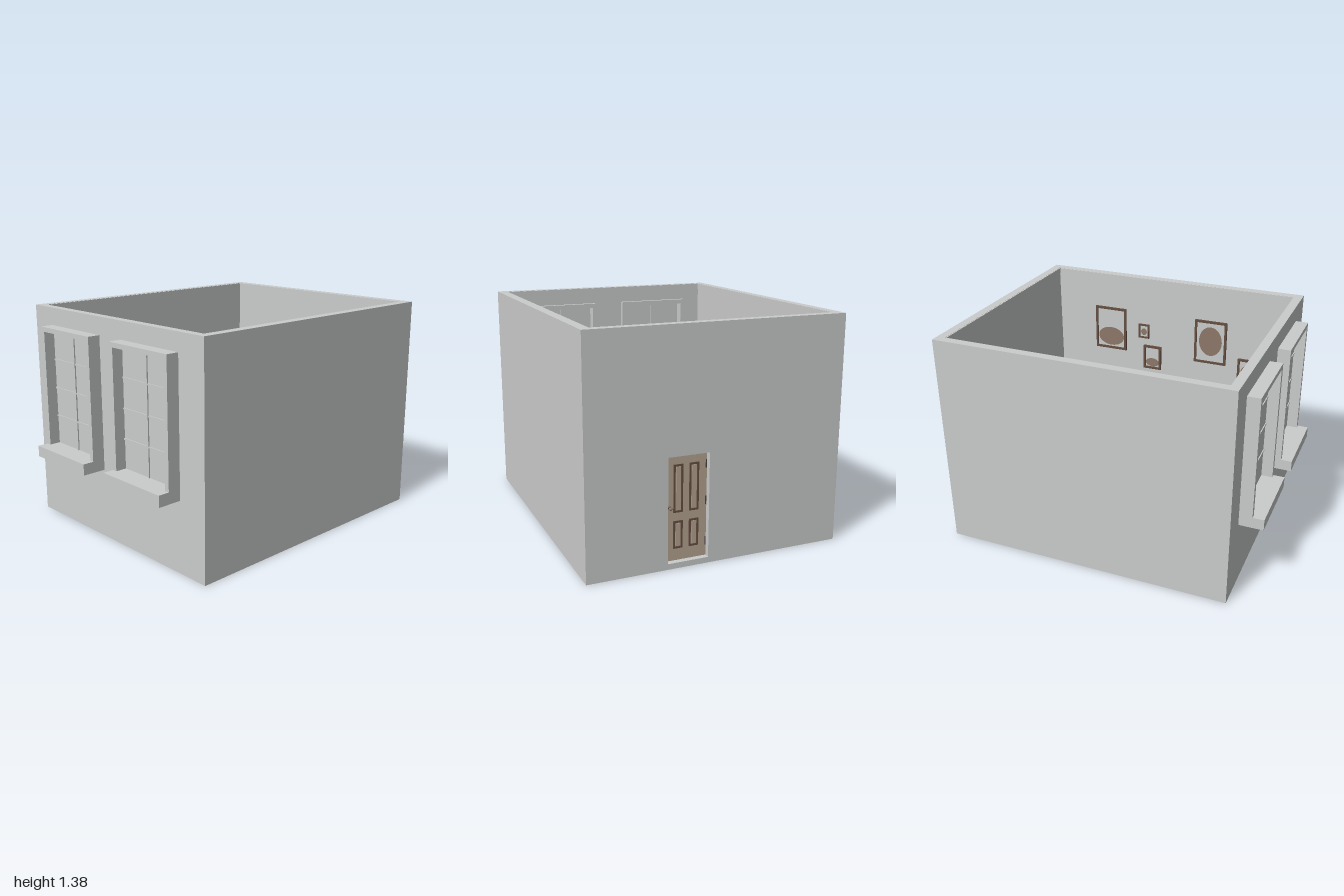
import * as THREE from 'three';
import { RoundedBoxGeometry } from 'three/addons/geometries/RoundedBoxGeometry.js';

const mat = (name, color) => {
  const m = new THREE.MeshStandardMaterial({ color });
  m.name = name;
  return m;
};

export function createModel() {
  const plaster = mat('plaster grey', 0xcbcdcc);
  const fabric = mat('light fabric', 0xd6d8d4);
  const wood = mat('brown wood', 0x8f786a);
  const darkWood = mat('dark wood', 0x664f42);
  const doorWood = mat('door wood', 0xb7a592);
  const grey = mat('mid grey', 0x929493);
  const metal = mat('dark metal', 0x4a4541);

  const root = new THREE.Group();
  root.name = 'room';
  const group = (name, parent = root) => {
    const g = new THREE.Group();
    g.name = name;
    parent.add(g);
    return g;
  };
  const add = (parent, name, geo, m, x = 0, y = 0, z = 0) => {
    const mesh = new THREE.Mesh(geo, m);
    mesh.name = name;
    mesh.position.set(x, y, z);
    parent.add(mesh);
    return mesh;
  };
  // box given by its limits on each axis
  const box = (parent, name, m, x0, x1, y0, y1, z0, z1) =>
    add(parent, name, new THREE.BoxGeometry(x1 - x0, y1 - y0, z1 - z0), m,
      (x0 + x1) / 2, (y0 + y1) / 2, (z0 + z1) / 2);
  const cyl = (parent, name, m, rTop, rBottom, x, y0, y1, z, sides = 16) =>
    add(parent, name, new THREE.CylinderGeometry(rTop, rBottom, y1 - y0, sides), m, x, (y0 + y1) / 2, z);
  const rect = (T, a0, a1, b0, b1) => new T()
    .moveTo(a0, b0).lineTo(a1, b0).lineTo(a1, b1).lineTo(a0, b1).closePath();
  // rectangle with rectangular holes, each as [a0, a1, y0, y1]
  const pierced = (outer, holes, depth) => {
    const s = rect(THREE.Shape, ...outer);
    holes.forEach(h => s.holes.push(rect(THREE.Path, ...h)));
    return new THREE.ExtrudeGeometry(s, { depth, bevelEnabled: false });
  };
  // same, standing in the z-y plane between x0 and x1
  const sidePierced = (parent, name, m, x0, x1, outer, holes) =>
    add(parent, name, pierced(outer, holes, x1 - x0).rotateY(-Math.PI / 2), m, x1);

  // Shell
  const H = 1.38, F = 0.03;
  const windows = [[-0.61, -0.11], [0.09, 0.59]];
  const shell = group('shell');
  box(shell, 'floor', plaster, -0.85, 1, 0, F, -0.79, 0.79);
  box(shell, 'backWall', plaster, -0.85, 1, F, H, -0.79, -0.74);
  box(shell, 'frontWall', plaster, -0.85, 1, F, H, 0.735, 0.79);
  sidePierced(shell, 'rightWall', plaster, 0.945, 1, [-0.74, 0.735, F, H], [[0.06, 0.31, 0.034, 0.656]]);
  sidePierced(shell, 'leftWall', plaster, -0.85, -0.8, [-0.74, 0.735, F, H],
    windows.map(([a, b]) => [a + 0.03, b - 0.03, 0.51, 1.24]));
  const crown = pierced([-0.8, 0.945, -0.735, 0.74],
    [[-0.793, 0.938, -0.728, 0.733]], 0.04).rotateX(-Math.PI / 2);
  add(shell, 'crownTrim', crown, plaster, 0, H - 0.041, 0);

  // Windows with sills, panes and glazing bars
  windows.forEach(([a, b]) => {
    const w = group('window');
    sidePierced(w, 'windowFrame', plaster, -0.93, -0.77, [a, b, 0.44, 1.27], [[a + 0.03, b - 0.03, 0.51, 1.24]]);
    box(w, 'sill', plaster, -1, -0.93, 0.44, 0.51, a, b);
    box(w, 'pane', plaster, -0.86, -0.83, 0.51, 1.24, a + 0.03, b - 0.03);
    const mid = (a + b) / 2;
    box(w, 'glazingBar', plaster, -0.868, -0.822, 0.51, 1.24, mid - 0.005, mid + 0.005);
    for (let i = 1; i < 4; i++) {
      const y = 0.51 + i * 0.1825;
      box(w, 'glazingBar', plaster, -0.866, -0.824, y - 0.005, y + 0.005, a + 0.03, b - 0.03);
    }
  });

  // Door with moulded panels and knobs on both faces
  const door = group('door');
  box(door, 'doorLeaf', doorWood, 0.94, 0.97, 0.036, 0.654, 0.062, 0.308);
  for (const [z0, z1] of [[0.112, 0.17], [0.209, 0.266]]) {
    for (const [y0, y1] of [[0.108, 0.272], [0.322, 0.602]]) {
      sidePierced(door, 'panelMoulding', darkWood, 0.935, 0.975, [z0, z1, y0, y1],
        [[z0 + 0.011, z1 - 0.011, y0 + 0.011, y1 - 0.011]]);
      box(door, 'panel', doorWood, 0.937, 0.973, y0 + 0.016, y1 - 0.016, z0 + 0.016, z1 - 0.016);
    }
  }
  for (const [x, s] of [[0.97, 1], [0.94, -1]]) {
    const stem = cyl(door, 'knobStem', metal, 0.005, 0.009, x + s * 0.006, 0.347, 0.359, 0.288);
    stem.rotation.z = -s * Math.PI / 2;
    add(door, 'knob', new THREE.SphereGeometry(0.01, 16, 12), wood, x + s * 0.015, 0.353, 0.288);
  }
  for (const y of [0.1, 0.345, 0.56]) box(door, 'hinge', metal, 0.968, 0.973, y, y + 0.05, 0.064, 0.07);

  // Bed with four corner posts
  const bed = group('bed');
  const bx = [-0.193, 0.337], bz = [-0.722, -0.07];
  for (const x of bx) {
    bz.forEach((z, i) => {
      const top = i ? 0.25 : 0.38;
      cyl(bed, 'bedPost', darkWood, 0.008, 0.008, x, F, top, z);
      add(bed, 'postKnob', new THREE.SphereGeometry(0.011, 16, 12), darkWood, x, top, z);
    });
    box(bed, 'sideRail', darkWood, x - 0.004, x + 0.004, 0.1, 0.135, ...bz);
  }
  box(bed, 'headboard', darkWood, ...bx, 0.1, 0.36, -0.727, -0.717);
  box(bed, 'footboard', darkWood, ...bx, 0.1, 0.235, -0.075, -0.065);
  add(bed, 'mattress', new RoundedBoxGeometry(0.522, 0.13, 0.642, 3, 0.02), fabric, 0.072, 0.165, -0.396);

  // Bedside table and lamp
  const night = group('bedsideTable');
  box(night, 'tableTop', wood, 0.39, 0.525, 0.185, 0.2, -0.72, -0.585);
  box(night, 'drawerBox', wood, 0.4, 0.515, 0.06, 0.185, -0.715, -0.595);
  box(night, 'drawerFront', darkWood, 0.41, 0.505, 0.125, 0.175, -0.596, -0.59);
  for (const x of [0.406, 0.509]) for (const z of [-0.709, -0.601])
    cyl(night, 'leg', darkWood, 0.007, 0.005, x, F, 0.062, z, 8);
  const lamp = group('lamp');
  lamp.position.set(0.457, 0.2, -0.655);
  const basePts = [[0, 0], [0.03, 0], [0.03, 0.006], [0.012, 0.015], [0.02, 0.04], [0.006, 0.07], [0.005, 0.11], [0, 0.11]];
  add(lamp, 'lampBase', new THREE.LatheGeometry(basePts.map(p => new THREE.Vector2(...p)), 24), metal);
  const shadeMat = mat('lamp shade', 0xd2d4cf);
  shadeMat.side = THREE.DoubleSide;
  add(lamp, 'lampShade', new THREE.CylinderGeometry(0.03, 0.052, 0.07, 32, 1, true), shadeMat, 0, 0.115, 0);
  add(lamp, 'bulb', new THREE.SphereGeometry(0.014, 16, 12), fabric, 0, 0.12, 0);

  // Sideboard with drawers and a small vase
  const side = group('sideboard');
  box(side, 'sideboardTop', wood, 0.8, 0.938, 0.26, 0.275, -0.69, -0.29);
  box(side, 'cabinet', wood, 0.81, 0.938, 0.06, 0.26, -0.685, -0.295);
  for (let c = 0; c < 2; c++) for (let r = 0; r < 2; r++) {
    const z = -0.678 + c * 0.192, y = 0.07 + r * 0.095;
    box(side, 'drawerFront', darkWood, 0.804, 0.81, y, y + 0.085, z, z + 0.184);
    add(side, 'drawerKnob', new THREE.SphereGeometry(0.006, 12, 8), metal, 0.801, y + 0.043, z + 0.092);
  }
  for (const x of [0.818, 0.93]) for (const z of [-0.677, -0.303])
    cyl(side, 'leg', darkWood, 0.008, 0.006, x, F, 0.062, z, 8);
  const vasePts = [[0, 0], [0.01, 0], [0.014, 0.015], [0.006, 0.035], [0.009, 0.045]];
  const vase = add(side, 'vase', new THREE.LatheGeometry(vasePts.map(p => new THREE.Vector2(...p)), 20), wood, 0.868, 0.275, -0.375);
  for (const [dx, dz] of [[0.008, -0.032], [-0.004, -0.01], [0.006, 0.012]]) {
    const twig = new THREE.LineCurve3(new THREE.Vector3(0, 0.03, 0), new THREE.Vector3(dx, 0.075, dz));
    add(vase, 'twig', new THREE.TubeGeometry(twig, 1, 0.0015, 6), metal);
    add(vase, 'bud', new THREE.SphereGeometry(0.004, 8, 6), darkWood, dx, 0.075, dz);
  }

  // Metal side chair
  const desk = group('sideChair');
  box(desk, 'seat', grey, 0.79, 0.9, 0.15, 0.165, -0.248, -0.117);
  for (const z of [-0.248, -0.118]) {
    for (const x of [0.794, 0.9]) cyl(desk, 'leg', metal, 0.004, 0.004, x, F, 0.152, z, 8);
    const rail = new THREE.LineCurve3(new THREE.Vector3(0.9, 0.15, z), new THREE.Vector3(0.936, 0.32, z));
    add(desk, 'backPost', new THREE.TubeGeometry(rail, 1, 0.004, 8), metal);
  }
  box(desk, 'topRail', metal, 0.932, 0.94, 0.3, 0.325, -0.25, -0.116);
  box(desk, 'middleRail', metal, 0.917, 0.923, 0.235, 0.255, -0.248, -0.118);

  // Round dining table
  const table = group('diningTable');
  cyl(table, 'tableRim', darkWood, 0.185, 0.18, 0.005, 0.235, 0.255, 0.455, 48);
  cyl(table, 'tableTop', wood, 0.172, 0.172, 0.005, 0.25, 0.258, 0.455, 48);
  cyl(table, 'pedestal', darkWood, 0.018, 0.025, 0.005, 0.045, 0.235, 0.455, 20);
  cyl(table, 'foot', darkWood, 0.03, 0.1, 0.005, F, 0.05, 0.455, 32);

  // Dining chairs, built facing +x
  const arcSlab = (r, t, half, depth) => {
    const s = new THREE.Shape();
    s.absarc(0, 0, r, Math.PI - half, Math.PI + half, false);
    s.absarc(0, 0, r - t, Math.PI + half, Math.PI - half, true);
    return new THREE.ExtrudeGeometry(s, { depth, bevelEnabled: false, curveSegments: 16 }).rotateX(-Math.PI / 2);
  };
  const makeChair = (x, z, turn) => {
    const c = group('diningChair');
    c.position.set(x, F, z);
    c.rotation.y = turn;
    const s = new THREE.Shape().moveTo(-0.033, -0.067).lineTo(0.09, -0.087).lineTo(0.09, 0.087).lineTo(-0.033, 0.067).closePath();
    const cushion = new THREE.ExtrudeGeometry(s, { depth: 0.016, bevelThickness: 0.006, bevelSize: 0.006, bevelSegments: 3 });
    add(c, 'seatCushion', cushion.rotateX(-Math.PI / 2), fabric, 0, 0.138, 0);
    const frame = new THREE.ExtrudeGeometry(s, { depth: 0.012, bevelEnabled: false });
    add(c, 'seatFrame', frame.rotateX(-Math.PI / 2), wood, 0, 0.12, 0);
    for (const k of [-1, 1]) {
      cyl(c, 'frontLeg', darkWood, 0.008, 0.005, 0.08, 0, 0.125, k * 0.076, 10);
      cyl(c, 'backLeg', darkWood, 0.008, 0.005, -0.026, 0, 0.125, k * 0.056, 10);
      const post = new THREE.LineCurve3(new THREE.Vector3(-0.03, 0.125, k * 0.05), new THREE.Vector3(-0.078, 0.22, k * 0.05));
      add(c, 'backPost', new THREE.TubeGeometry(post, 1, 0.007, 8), wood);
    }
    add(c, 'backrest', arcSlab(0.09, 0.022, 0.9, 0.12), wood, -0.01, 0.17, 0);
    add(c, 'backCushion', arcSlab(0.068, 0.018, 0.85, 0.105), grey, -0.01, 0.175, 0);
  };
  makeChair(-0.3, 0.462, 0);
  makeChair(0.32, 0.462, Math.PI);

  // Framed pictures on the front wall: limits, then motif centre and radii as shares of the size
  const pictures = [
    [0.415, 0.655, 0.81, 1.13, 0.3, 0.42, 0.22],
    [0.235, 0.315, 0.93, 1.035, 0.45, 0.28, 0.25],
    [0.14, 0.275, 0.695, 0.875, 0.28, 0.38, 0.18],
    [-0.35, -0.115, 0.81, 1.13, 0.52, 0.36, 0.34],
    [-0.575, -0.44, 0.7, 0.88, 0.45, 0.32, 0.28],
  ];
  pictures.forEach(([x0, x1, y0, y1, cy, rx, ry]) => {
    const p = group('picture'), w = x1 - x0, h = y1 - y0, t = Math.min(0.016, w * 0.14);
    add(p, 'pictureFrame', pierced([x0, x1, y0, y1], [[x0 + t, x1 - t, y0 + t, y1 - t]], 0.014), darkWood, 0, 0, 0.721);
    box(p, 'canvas', plaster, x0 + t, x1 - t, y0 + t, y1 - t, 0.729, 0.735);
    const motif = add(p, 'motif', new THREE.CircleGeometry(1, 32).rotateY(Math.PI), wood, (x0 + x1) / 2, y0 + h * cy, 0.7275);
    motif.scale.set(w * rx, h * ry, 1);
  });

  return root;
}
